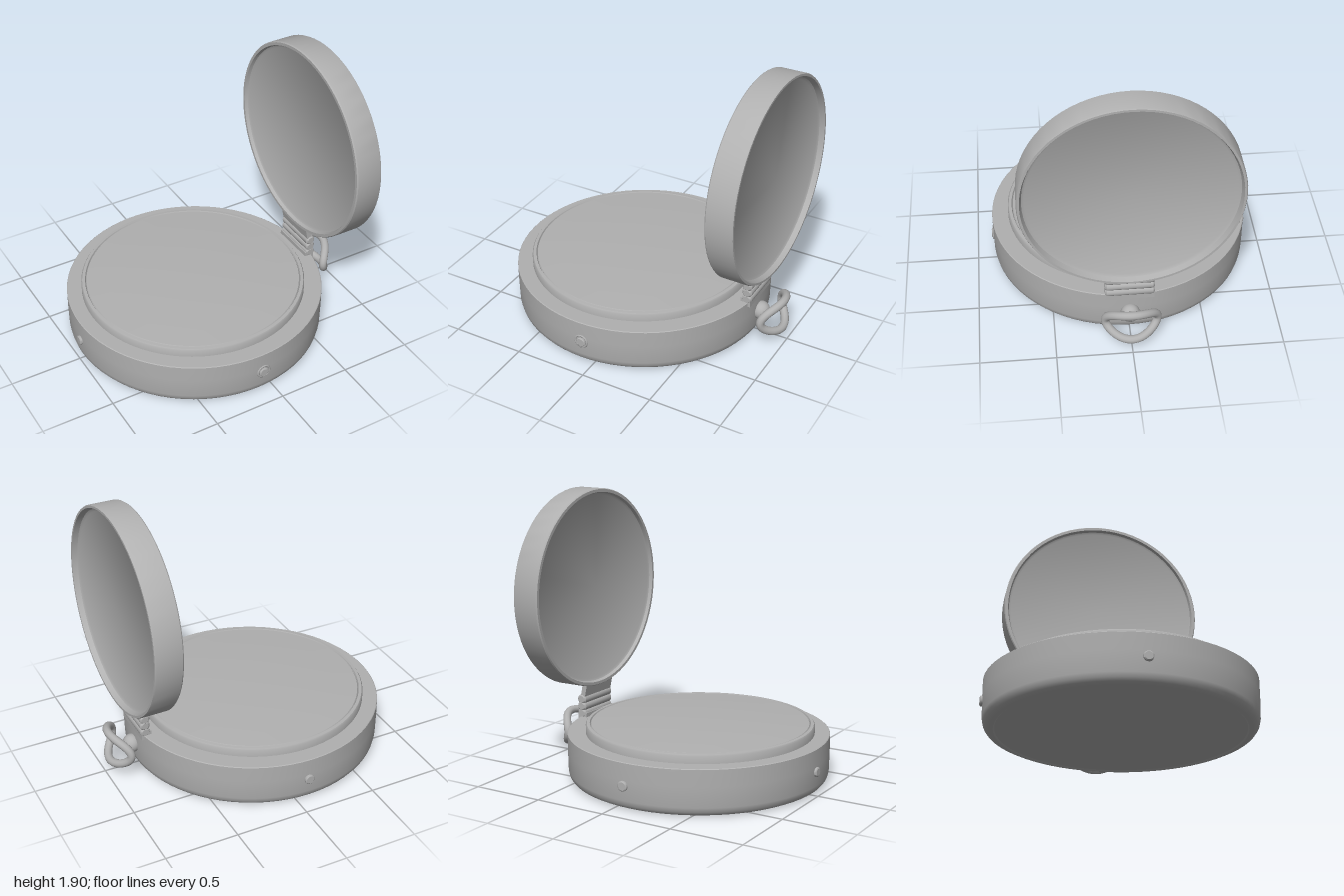
import * as THREE from 'three';
import { toCreasedNormals } from 'three/addons/utils/BufferGeometryUtils.js';

export function createModel() {
  const group = new THREE.Group();
  const metal = new THREE.MeshStandardMaterial({ color: 0xb0b0b0 });
  metal.name = 'grey metal';

  const add = (name, geometry, x = 0, y = 0, z = 0) => {
    const mesh = new THREE.Mesh(geometry, metal);
    mesh.name = name;
    mesh.position.set(x, y, z);
    group.add(mesh);
    return mesh;
  };
  // Closed turned profile, listed from the bottom axis to the top axis
  const turned = (profile, segments = 72) => toCreasedNormals(
    new THREE.LatheGeometry(profile.map(([r, y]) => new THREE.Vector2(r, y)), segments), 0.6);

  // Round case with a softened bottom edge
  add('case', turned([
    [0, 0.008], [0.8, 0.008], [0.81, 0], [0.835, 0.003], [0.86, 0.015], [0.875, 0.035],
    [0.882, 0.065], [0.885, 0.2], [0.885, 0.312], [0.88, 0.316], [0, 0.316],
  ]), -0.1);

  // Raised bezel and shallow domed face, separated by a fine groove
  add('bezelAndFace', turned([
    [0, 0.3], [0.772, 0.3], [0.772, 0.365], [0.765, 0.376], [0.745, 0.378], [0.74, 0.368],
    [0.735, 0.376], [0.6, 0.384], [0.45, 0.392], [0.25, 0.398], [0, 0.4],
  ]), -0.112);

  // Upright lid, recessed on both faces
  const lid = turned([
    [0, 0.03], [0.655, 0.03], [0.67, 0.022], [0.678, 0], [0.698, 0], [0.704, 0.008],
    [0.705, 0.18], [0.7, 0.19], [0.685, 0.19], [0.672, 0.155], [0.655, 0.145], [0, 0.145],
  ]);
  lid.rotateZ(-Math.PI / 2).scale(1, 0.98, 1);
  add('lid', lid, 0.708, 1.212, 0);

  // Hinge: stacked rolls with a leaf to the lid and a foot on the case
  const roll = turned([
    [0, -0.163], [0.024, -0.163], [0.035, -0.152], [0.035, 0.152], [0.024, 0.163], [0, 0.163],
  ], 20).rotateX(Math.PI / 2);
  [0.34, 0.39, 0.44].forEach((y) => add('hingeRoll', roll, 0.76, y, 0));
  add('hingeLeaf', new THREE.BoxGeometry(0.035, 0.13, 0.31), 0.745, 0.49, 0).rotation.z = 0.2;
  add('hingeFoot', new THREE.BoxGeometry(0.07, 0.06, 0.32), 0.753, 0.315, 0);

  // Pull loop, curled outward at its top and bottom
  const loopPoints = [];
  for (let i = 0; i < 24; i++) {
    const a = (i / 24) * Math.PI * 2;
    const s = Math.sin(a);
    loopPoints.push(new THREE.Vector3(0.872 + 0.09 * s * s, 0.192 + 0.108 * s, 0.172 * Math.cos(a)));
  }
  add('pullLoop', new THREE.TubeGeometry(
    new THREE.CatmullRomCurve3(loopPoints, true), 72, 0.028, 12, true));

  // Knob that carries the loop
  add('loopKnob', new THREE.SphereGeometry(0.064, 24, 16), 0.8, 0.168, 0).scale.x = 0.95;

  // Small pins in collars around the case wall
  const pinShape = (r) => turned([
    [0, -0.06], [r, -0.06], [r, 0.015], [r * 0.8, 0.02], [0, 0.02],
  ], 20).rotateX(Math.PI / 2);
  const pins = [
    { x: -0.08, z: 0.875, turn: 0, r: 0.034 },
    { x: -0.08, z: -0.88, turn: Math.PI, r: 0.034 },
    { x: -0.98, z: 0, turn: -Math.PI / 2, r: 0.032 },
  ];
  pins.forEach(({ x, z, turn, r }) => {
    add('pin', pinShape(r), x, 0.163, z).rotation.y = turn;
    if (turn === 0) add('pinCollar', new THREE.TorusGeometry(0.043, 0.008, 8, 24), x, 0.168, z + 0.007);
  });

  return group;
}
